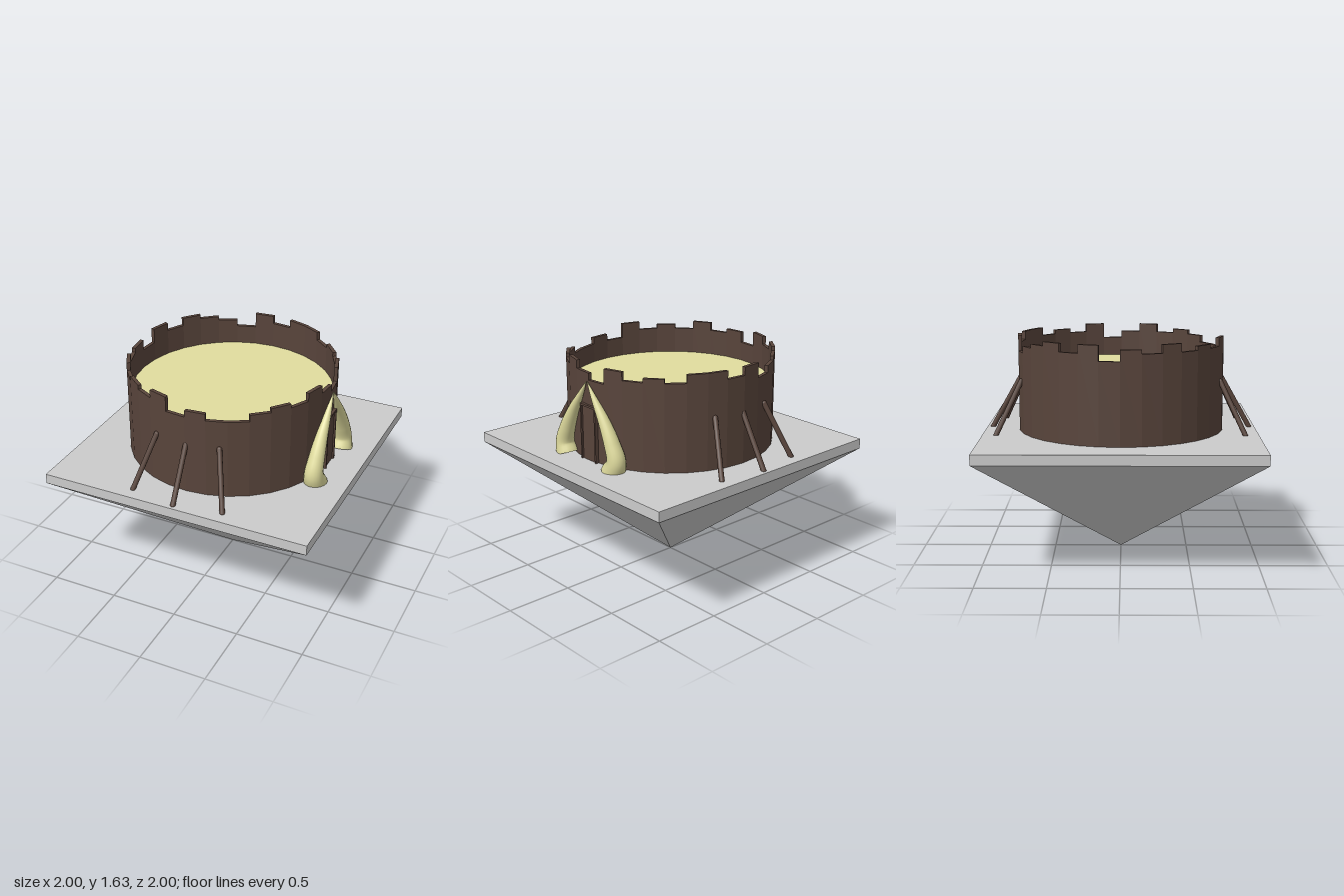
import * as THREE from 'three';

const mat = (color, extra = {}) => new THREE.MeshStandardMaterial({ color, ...extra });
const V = (x, y, z) => new THREE.Vector3(x, y, z);

const TOP = 0.93; // upper face of the slab
const SIDES = 32;
const OUTER = 0.76, INNER = 0.733;

// Wall top for each of the 32 facets, counted from +x towards +z
const L = 1.52, M = 1.57, H = 1.6, T = 1.63;
const HEIGHTS = [
  M, T, M, H, M, L, L, M, L, T, M, H, M, T, M, H,
  L, T, M, T, H, M, L, T, M, T, T, M, H, M, T, L,
];

export function createModel() {
  const model = new THREE.Group();
  const grey = mat(0xcccccc, { flatShading: true });
  const wood = mat(0x58443b, { flatShading: true });
  const poleWood = mat(0x58443b);
  const ivory = mat(0xe0dc9e);
  const floorMat = mat(0xe0dc9e, { side: THREE.DoubleSide });

  const add = (name, geometry, material, parent = model) => {
    const mesh = new THREE.Mesh(geometry, material);
    mesh.name = name;
    parent.add(mesh);
    return mesh;
  };
  const group = (name) => {
    const g = new THREE.Group();
    g.name = name;
    model.add(g);
    return g;
  };

  // Ground slab over an inverted pyramid
  add('slab', new THREE.BoxGeometry(2, 0.075, 2), grey).position.y = TOP - 0.0375;
  const cone = new THREE.ConeGeometry(Math.SQRT2, 0.855, 4, 1);
  cone.rotateX(Math.PI).rotateY(Math.PI / 4);
  add('pyramid', cone, grey).position.y = 0.4275;

  // Ring wall: one plank-like prism per facet, with ragged heights
  const wall = group('wall');
  HEIGHTS.forEach((top, i) => {
    const a = (i / SIDES) * Math.PI * 2, b = ((i + 1) / SIDES) * Math.PI * 2;
    const corner = (r, t) => new THREE.Vector2(r * Math.cos(t), -r * Math.sin(t));
    const shape = new THREE.Shape([corner(OUTER, a), corner(OUTER, b), corner(INNER, b), corner(INNER, a)]);
    const geo = new THREE.ExtrudeGeometry(shape, { depth: top - TOP, bevelEnabled: false });
    geo.rotateX(-Math.PI / 2);
    add('wallPanel', geo, wood, wall).position.y = TOP;
  });

  // Raised floor inside the wall
  const floor = new THREE.CircleGeometry(INNER + 0.005, SIDES);
  floor.rotateX(-Math.PI / 2);
  add('floor', floor, floorMat).position.y = 1.38;

  // Leaning poles at the front and back
  const poles = group('poles');
  for (const s of [1, -1]) {
    for (const k of [-1, 0, 1]) {
      const foot = V(0.345 * k, TOP, s * (k ? 0.9 : 0.96));
      const head = V(0.24 * k, 1.31, s * (k ? 0.72 : 0.745));
      const dir = head.clone().sub(foot);
      const pole = add('pole', new THREE.CapsuleGeometry(0.019, dir.length(), 4, 10), poleWood, poles);
      pole.position.copy(foot).add(head).multiplyScalar(0.5);
      pole.quaternion.setFromUnitVectors(V(0, 1, 0), dir.normalize());
    }
  }

  // Door leaf with a frame around it
  const door = group('door');
  const box = (name, d, h, w, x, y, z) =>
    add(name, new THREE.BoxGeometry(d, h, w), wood, door).position.set(x, y, z);
  box('doorLeaf', 0.03, 0.4, 0.14, 0.75, TOP + 0.2, 0);
  box('doorLintel', 0.045, 0.015, 0.165, 0.755, 1.333, 0);
  for (const s of [1, -1]) box('doorPost', 0.045, 0.4, 0.013, 0.755, TOP + 0.2, s * 0.076);

  // Pair of curved tusks that meet above the door
  const tusks = group('tusks');
  const RADII = [0.087, 0.068, 0.06, 0.053, 0.045, 0.036, 0.026, 0.015, 0.002];
  const STEPS = 32, AROUND = 20;
  for (const s of [1, -1]) {
    const path = new THREE.CatmullRomCurve3([
      V(0.765, 0.92, s * 0.26), V(0.762, 1.0, s * 0.29), V(0.765, 1.12, s * 0.25),
      V(0.768, 1.26, s * 0.175), V(0.773, 1.4, s * 0.08), V(0.775, 1.515, s * 0.003),
    ]);
    const geo = new THREE.TubeGeometry(path, STEPS, 1, AROUND);
    const pos = geo.attributes.position, nor = geo.attributes.normal;
    for (let i = 0; i < pos.count; i++) {
      // Taper: pull each ring in along its normals
      const t = (Math.floor(i / (AROUND + 1)) / STEPS) * (RADII.length - 1);
      const k = Math.min(Math.floor(t), RADII.length - 2);
      const r = THREE.MathUtils.lerp(RADII[k], RADII[k + 1], t - k);
      const p = V(0, 0, 0).fromBufferAttribute(pos, i);
      p.addScaledVector(V(0, 0, 0).fromBufferAttribute(nor, i), r - 1);
      pos.setXYZ(i, p.x, p.y, p.z);
    }
    geo.computeBoundingSphere();
    add('tusk', geo, ivory, tusks);
  }

  return model;
}
